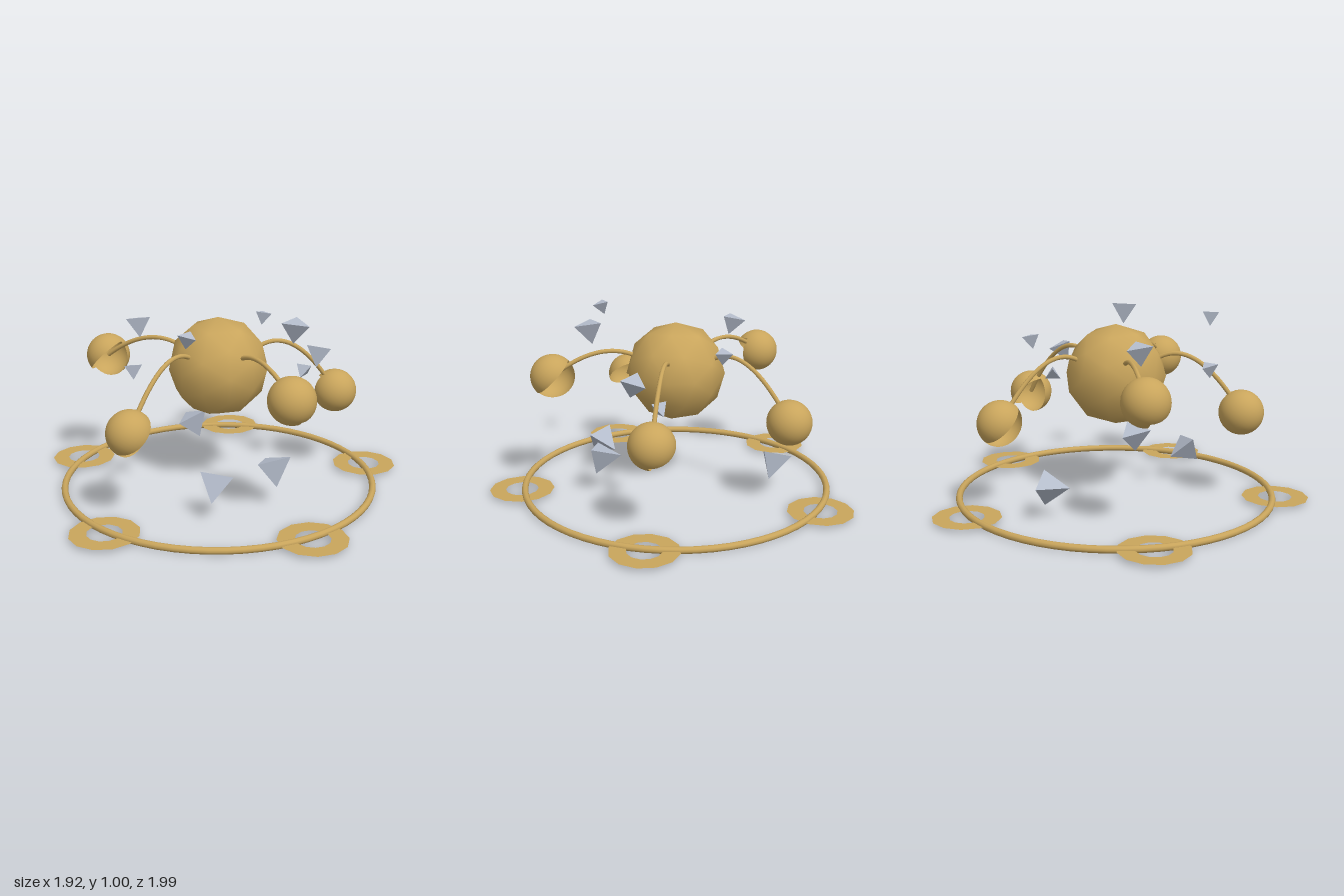
import * as THREE from 'three';

export function createModel() {
  const model = new THREE.Group();
  const hub = new THREE.Group(); // axis of the five-fold symmetry
  hub.position.x = -0.085;
  model.add(hub);

  const gold = new THREE.MeshStandardMaterial({ color: 0xc9a55c });
  const goldOpen = new THREE.MeshStandardMaterial({ color: 0xc9a55c, side: THREE.DoubleSide });
  const crystal = new THREE.MeshStandardMaterial({ color: 0xb4bccb, flatShading: true });

  const add = (parent, name, geometry, material, x = 0, y = 0, z = 0) => {
    const mesh = new THREE.Mesh(geometry, material);
    mesh.name = name;
    mesh.position.set(x, y, z);
    parent.add(mesh);
    return mesh;
  };

  // Central body: faceted outline, smooth shading
  add(hub, 'centralSphere', new THREE.IcosahedronGeometry(0.27, 1), gold, 0, 0.67, 0);

  // Base hoop
  const hoop = new THREE.TorusGeometry(0.85, 0.018, 10, 64);
  add(hub, 'baseHoop', hoop.rotateX(Math.PI / 2), gold, 0, 0.018, 0);

  // Five arms, each with an open pod and a flat ring on the hoop
  const podGeometry = new THREE.SphereGeometry(0.12, 24, 18, 0, Math.PI * 1.5);
  const ringGeometry = new THREE.RingGeometry(0.09, 0.178, 12).rotateX(-Math.PI / 2);
  for (let i = 0; i < 5; i++) {
    const spoke = new THREE.Group();
    spoke.name = 'spoke' + (i + 1);
    spoke.rotation.y = -i * Math.PI * 2 / 5;
    hub.add(spoke);

    const high = i % 2 === 1;
    const endY = high ? 0.665 : 0.48;
    const path = new THREE.QuadraticBezierCurve3(
      new THREE.Vector3(0.235, 0.77, 0),
      new THREE.Vector3(0.43, high ? 0.85 : 0.87, 0),
      new THREE.Vector3(0.67, endY, 0)
    );
    add(spoke, 'arm', new THREE.TubeGeometry(path, 24, 0.012, 8), gold);
    add(spoke, 'pod', podGeometry, goldOpen, 0.67, endY, 0).rotation.z = Math.PI / 4;
    add(spoke, 'flatRing', ringGeometry, goldOpen, 0.865, 0.018, 0);
  }

  // Floating crystals: position, radius, rotation
  const crystals = [
    [0.40, 0.61, 0.00, 0.055, 0, 0, 0],
    [0.44, 0.74, 0.12, 0.08, 0.5, 0.3, 0.2],
    [0.21, 0.96, 0.40, 0.085, 0.9, 0.5, 0.3],
    [0.11, 0.22, 0.38, 0.11, 0.6, 0.9, 0.1],
    [-0.21, 0.19, 0.46, 0.105, 0.2, 0.3, 0],
    [-0.35, 0.96, 0.48, 0.055, 1.0, 0.4, 0.3],
    [-0.57, 0.74, 0.17, 0.055, 0.7, 0.8, 0],
    [-0.47, 0.87, -0.26, 0.08, 0.6, 0.7, 0.2],
    [-0.12, 0.17, -0.54, 0.11, 0.5, 1.1, 0.4],
    [0.25, 0.86, -0.30, 0.055, 0.8, 0.5, 0.1]
  ];
  for (const [x, y, z, r, rx, ry, rz] of crystals) {
    add(model, 'crystal', new THREE.TetrahedronGeometry(r), crystal, x, y, z).rotation.set(rx, ry, rz);
  }
  return model;
}
